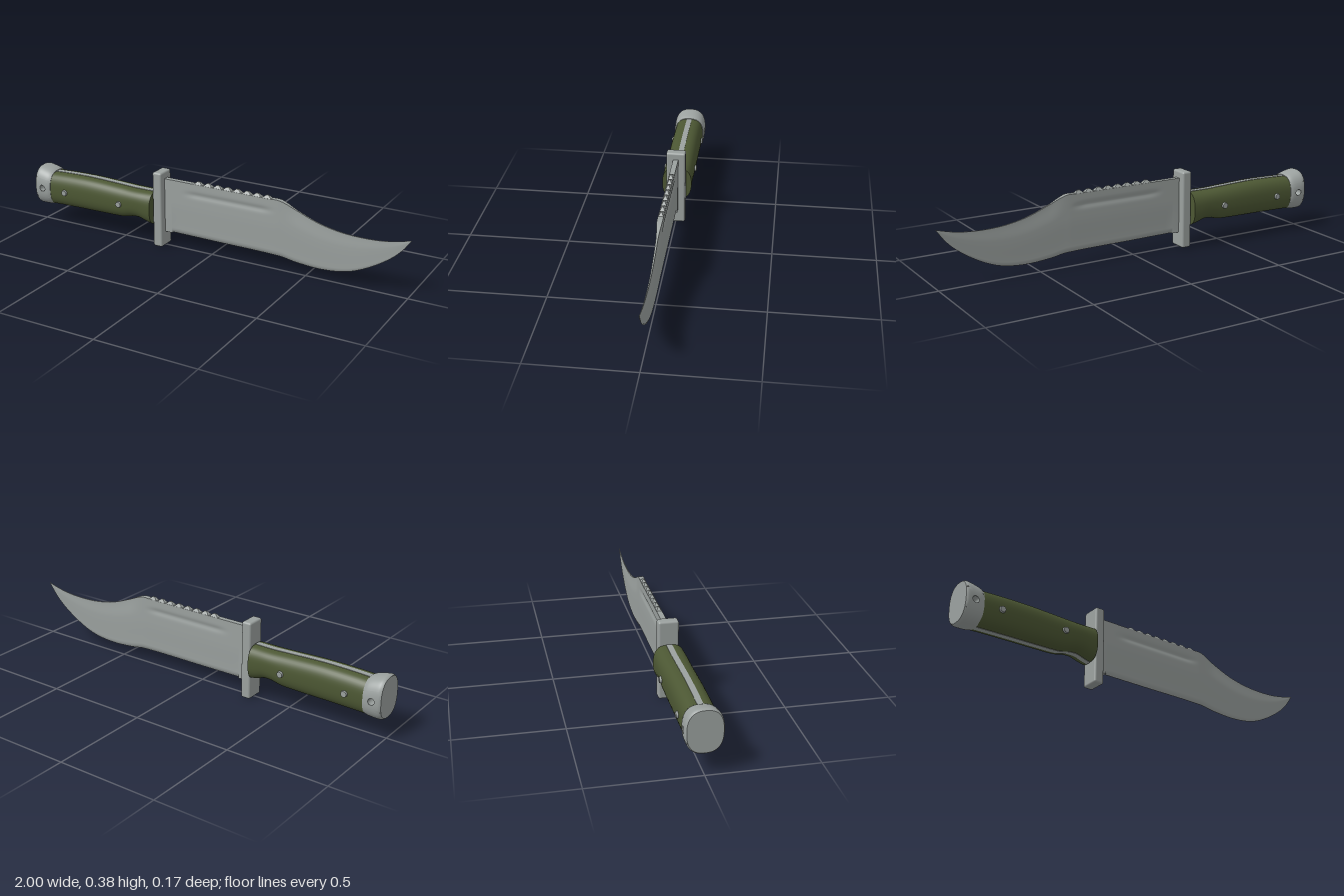
import * as THREE from 'three';
import { RoundedBoxGeometry } from 'three/addons/geometries/RoundedBoxGeometry.js';

const steel = new THREE.MeshStandardMaterial({ color: 0x9ba19f, side: THREE.DoubleSide });
steel.name = 'steel';
const green = new THREE.MeshStandardMaterial({ color: 0x4c5733, side: THREE.DoubleSide });
green.name = 'olive green';

// evenly spaced numbers from a to b
const steps = (a, b, n) => Array.from({ length: n + 1 }, (_, i) => a + (b - a) * i / n);

// smooth height function through points [x, y]
function profile(pts) {
  const slope = i => {
    const a = pts[Math.max(i - 1, 0)], b = pts[Math.min(i + 1, pts.length - 1)];
    return (b[1] - a[1]) / (b[0] - a[0]);
  };
  return x => {
    let i = 0;
    while (i < pts.length - 2 && x > pts[i + 1][0]) i++;
    const [x0, y0] = pts[i], [x1, y1] = pts[i + 1], d = x1 - x0;
    const t = THREE.MathUtils.clamp((x - x0) / d, 0, 1), s = 1 - t;
    return y0 * s * s * (1 + 2 * t) + y1 * t * t * (3 - 2 * t) + d * s * t * (s * slope(i) - t * slope(i + 1));
  };
}

// surface f(u, v) -> [x, y, z] over lists of u and v
function grid(f, us, vs) {
  const pos = [], idx = [], n = vs.length;
  us.forEach(u => vs.forEach(v => pos.push(...f(u, v))));
  for (let i = 0; i < us.length - 1; i++) for (let j = 0; j < n - 1; j++) {
    const a = i * n + j, b = a + n;
    idx.push(a, b, b + 1, a, b + 1, a + 1);
  }
  const g = new THREE.BufferGeometry();
  g.setAttribute('position', new THREE.Float32BufferAttribute(pos, 3));
  g.setIndex(idx);
  g.computeVertexNormals();
  return g;
}

function add(parent, name, geometry, material, x = 0, y = 0, z = 0) {
  const m = new THREE.Mesh(geometry, material);
  m.name = name;
  m.position.set(x, y, z);
  parent.add(m);
  return m;
}

function part(parent, name) {
  const g = new THREE.Group();
  g.name = name;
  parent.add(g);
  return g;
}

// rounded oval section
const round = c => Math.sign(c) * Math.abs(c) ** 0.8;

function buildBlade(root) {
  const blade = part(root, 'blade');
  const top = profile([[-0.28, 0.35], [0.3, 0.35], [0.365, 0.35], [0.45, 0.315], [0.55, 0.277],
    [0.65, 0.255], [0.75, 0.247], [0.85, 0.25], [0.93, 0.262], [1, 0.28]]);
  const bottom = profile([[-0.28, 0.075], [0, 0.073], [0.36, 0.07], [0.45, 0.057], [0.58, 0.05],
    [0.7, 0.065], [0.8, 0.105], [0.9, 0.168], [0.96, 0.224], [1, 0.279]]);
  const S = THREE.MathUtils.smoothstep;
  const half = (x, v) => {
    const t = x < 0.35 ? 0.013 : 0.013 - 0.0115 * ((x - 0.35) / 0.65) ** 0.8;
    const y = bottom(x) + (top(x) - bottom(x)) * v;
    const edge = x < -0.22 ? 1 : v < 0.06 ? 0.06 + 0.64 * v / 0.06 : 0.7 + 0.3 * S(v, 0.06, 0.6);
    const clip = 1 - 0.55 * S(x, 0.36, 0.46) * S(v, 0.65, 1);
    const groove = 0.4 * Math.exp(-(((y - 0.293) / 0.013) ** 2)) * S(x, -0.17, -0.08) * (1 - S(x, 0.26, 0.35));
    return t * edge * clip * (1 - groove);
  };
  const at = (x, v, s) => [x, bottom(x) + (top(x) - bottom(x)) * v, s * half(x, v)];
  const xs = [-0.28, -0.221, -0.219, ...steps(-0.18, 1, 80)];
  const vs = [0, 0.03, 0.06, ...steps(0.1, 1, 36)];
  const back = [...xs].reverse();
  add(blade, 'bladeFront', grid((x, v) => at(x, v, 1), xs, vs), steel);
  add(blade, 'bladeBack', grid((x, v) => at(x, v, -1), back, vs), steel);
  add(blade, 'spine', grid((x, s) => at(x, 1, s), xs, [1, -1]), steel);
  add(blade, 'cuttingEdge', grid((x, s) => at(x, 0, s), xs, [-1, 1]), steel);

  // saw teeth on the spine
  for (let i = 0; i < 8; i++) {
    const g = new THREE.CylinderGeometry(0.18, Math.SQRT1_2, 1, 4, 1).rotateY(Math.PI / 4).toNonIndexed();
    g.scale(0.05, 0.016, 0.026);
    g.computeVertexNormals();
    add(blade, 'sawTooth', g, steel, -0.072 + i * 0.0525, 0.356, 0);
  }
}

function buildHandle(root) {
  const handle = part(root, 'handle');
  const top = profile([[-0.93, 0.275], [-0.82, 0.28], [-0.68, 0.282], [-0.5, 0.276], [-0.42, 0.273], [-0.31, 0.274]]);
  const bottom = profile([[-0.93, 0.106], [-0.75, 0.11], [-0.6, 0.112], [-0.48, 0.116], [-0.43, 0.128],
    [-0.385, 0.129], [-0.345, 0.116], [-0.31, 0.108]]);
  const xs = steps(-0.93, -0.312, 40), as = steps(-Math.PI / 2, Math.PI / 2, 24);
  for (const s of [1, -1]) {
    const at = (x, a, k = 1) => {
      const yc = (top(x) + bottom(x)) / 2, h = (top(x) - bottom(x)) / 2;
      return [x, yc + k * h * round(Math.sin(a)), s * k * (0.012 + 0.062 * round(Math.max(0, Math.cos(a))))];
    };
    const dir = l => (s > 0 ? l : [...l].reverse());
    const name = s > 0 ? 'frontGrip' : 'backGrip';
    add(handle, name, grid((x, a) => at(x, a), dir(xs), as), green);
    add(handle, name + 'End', grid((k, a) => at(-0.312, a, k), dir([1, 0]), as), green);

    // rivets
    for (const x of [-0.82, -0.49]) {
      const g = new THREE.CylinderGeometry(0.014, 0.018, 0.02, 20).rotateX(s * Math.PI / 2);
      add(handle, 'rivet', g, steel, x, 0.193, s * 0.073);
    }
  }

  // tang between the grips
  const outline = [...xs.map(x => [x, bottom(x) - 0.002]), [-0.312, 0.12], [-0.28, 0.12], [-0.28, 0.26],
    [-0.312, 0.26], ...[...xs].reverse().map(x => [x, top(x) + 0.002])];
  const shape = new THREE.Shape(outline.map(p => new THREE.Vector2(...p)));
  add(handle, 'tang', new THREE.ExtrudeGeometry(shape, { depth: 0.027, bevelEnabled: false }), steel, 0, 0, -0.0135);
}

function buildPommel(root) {
  const pommel = part(root, 'pommel');
  const height = profile([[-1, 0.096], [-0.99, 0.102], [-0.96, 0.1], [-0.925, 0.094], [-0.91, 0.088]]);
  const depth = profile([[-1, 0.077], [-0.99, 0.082], [-0.96, 0.083], [-0.925, 0.081], [-0.91, 0.076]]);
  const centre = x => 0.201 - 0.008 * (x + 1) / 0.09;
  const at = (x, a, k = 1) => [x, centre(x) + k * height(x) * round(Math.sin(a)), k * depth(x) * round(Math.cos(a))];
  const xs = steps(-1, -0.91, 12), a0 = Math.asin(0.5 ** 1.25);
  const loop = steps(0, Math.PI * 2, 64);
  add(pommel, 'pommelTop', grid(at, xs, steps(a0, Math.PI - a0, 28)), steel);
  add(pommel, 'pommelBottom', grid(at, xs, steps(Math.PI + a0, Math.PI * 2 - a0, 28)), steel);
  add(pommel, 'pommelCap', grid((k, a) => at(-1, a, k), [0, 1], loop), steel);
  add(pommel, 'pommelCollar', grid((k, a) => at(-0.91, a, k), [1, 0], loop), steel);

  // side panels pierced by the lanyard hole
  for (const s of [1, -1]) {
    const panel = (k, t) => {
      const c = Math.cos(t), n = Math.sin(t), m = Math.max(Math.abs(c), Math.abs(n));
      const x = -0.955 + THREE.MathUtils.lerp(0.016 * c, 0.045 * c / m, k);
      const q = THREE.MathUtils.lerp(0.16 * n, 0.5 * n / m, k);
      return [x, centre(x) + height(x) * q, s * depth(x) * (1 - Math.abs(q) ** 2.5) ** 0.4];
    };
    const ks = steps(0, 1, 8);
    add(pommel, 'pommelSide', grid(panel, s > 0 ? ks : ks.reverse(), steps(0, Math.PI * 2, 32)), steel);
  }
  const hole = new THREE.CylinderGeometry(0.016, 0.016, 0.164, 32, 1, true).rotateX(Math.PI / 2);
  add(pommel, 'lanyardHole', hole, steel, -0.955, centre(-0.955), 0);
}

function buildGuard(root) {
  // cross guard, slightly waisted in the middle
  const g = new RoundedBoxGeometry(0.05, 0.385, 0.095, 4, 0.01);
  add(root, 'guard', g, steel, -0.282, 0.1925, 0);
}

export function createModel() {
  const root = new THREE.Group();
  root.name = 'knife';
  buildBlade(root);
  buildGuard(root);
  buildHandle(root);
  buildPommel(root);
  return root;
}
